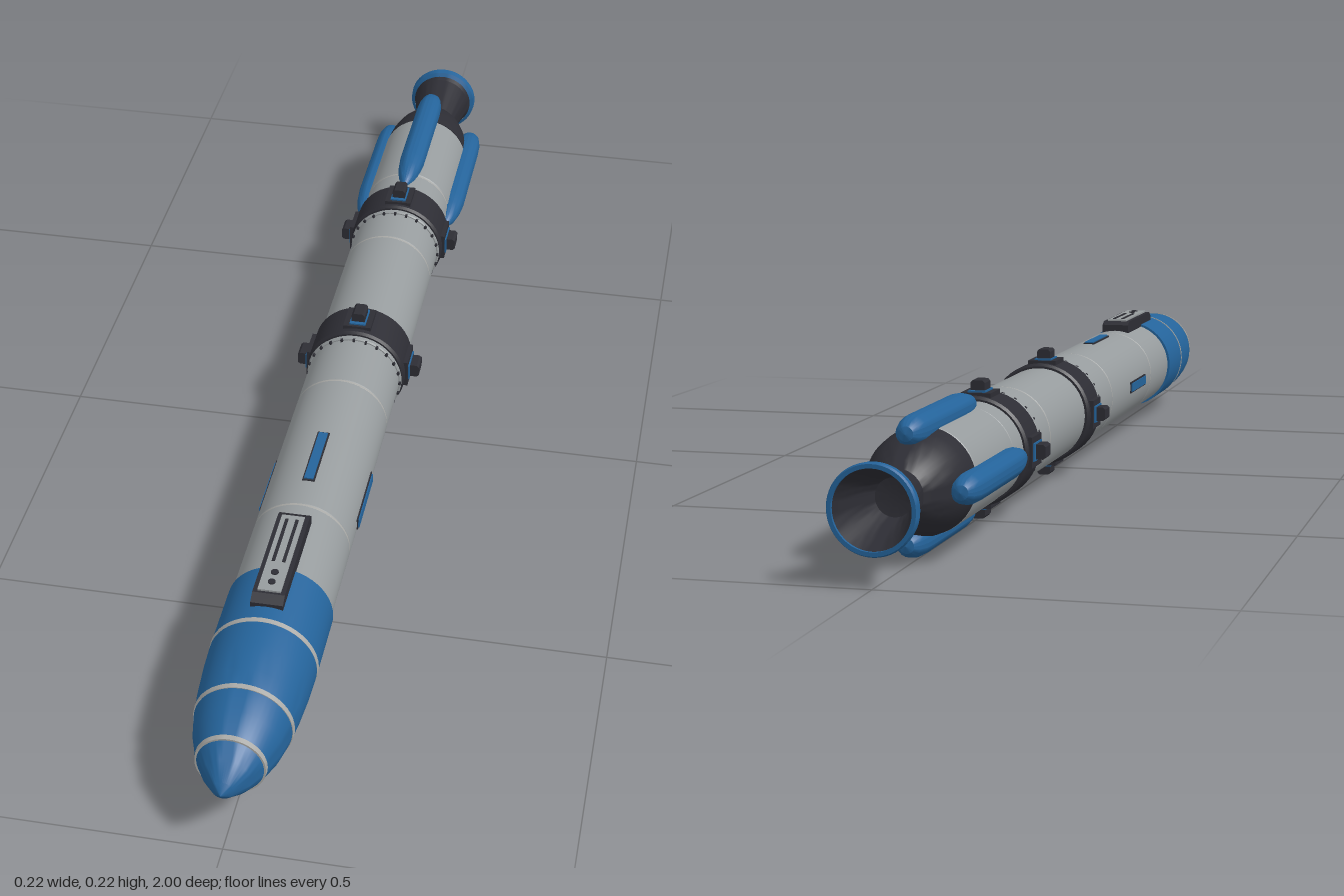
import * as THREE from 'three';
import { toCreasedNormals } from 'three/addons/utils/BufferGeometryUtils.js';

const AXIS_Y = 0.108;

export function createModel() {
  const mat = (name, color, side = THREE.FrontSide) => {
    const m = new THREE.MeshStandardMaterial({ color, side });
    m.name = name;
    return m;
  };
  const blue = mat('blue', 0x24639a);
  const grey = mat('hullGrey', 0x969b9d);
  const light = mat('seamGrey', 0xa9a9a6);
  const dark = mat('charcoal', 0x2d2d34, THREE.DoubleSide);

  const model = new THREE.Group();
  model.name = 'rocket';
  const rocket = new THREE.Group();
  rocket.name = 'body';
  rocket.position.y = AXIS_Y;
  model.add(rocket);

  const add = (name, geo, material, parent = rocket) => {
    const mesh = new THREE.Mesh(geo, material);
    mesh.name = name;
    parent.add(mesh);
    return mesh;
  };
  // Surface of revolution around the z axis; profile is [radius, z] from back to front
  const turned = (name, profile, material, parent = rocket, segments = 48) => {
    const pts = profile.map(([r, z]) => new THREE.Vector2(r, z));
    const geo = new THREE.LatheGeometry(pts, segments).rotateX(Math.PI / 2);
    return add(name, toCreasedNormals(geo, 0.5), material, parent);
  };
  // Short closed cylinder with small chamfers
  const drum = (name, z0, z1, r, material, bevel = 0.002) => turned(name, [
    [0, z0], [r - bevel, z0], [r, z0 + bevel], [r, z1 - bevel], [r - bevel, z1], [0, z1],
  ], material);
  const box = (name, size, pos, material, parent) => {
    const mesh = add(name, new THREE.BoxGeometry(...size), material, parent);
    mesh.position.set(...pos);
    return mesh;
  };
  // Four copies around the hull; +y is outward in each group
  const around = (name, build) => {
    for (let i = 0; i < 4; i++) {
      const g = new THREE.Group();
      g.name = name;
      g.rotation.z = i * Math.PI / 2;
      rocket.add(g);
      build(g);
    }
  };

  // Nose cone
  const ogive = [[0.083, 0.6], [0.083, 0.72], [0.0815, 0.77], [0.078, 0.82], [0.074, 0.855],
    [0.066, 0.895], [0.052, 0.935], [0.036, 0.963], [0.016, 0.988], [0, 1]];
  turned('noseCone', [[0, 0.6], ...ogive], blue);
  for (const [z, r] of [[0.72, 0.0832], [0.853, 0.0748], [0.935, 0.0525]]) {
    turned('noseRing', [[r - 0.006, z - 0.004], [r + 0.001, z - 0.004],
      [r, z + 0.004], [r - 0.008, z + 0.004]], light);
  }

  // Hull sections, with chamfered joints between them
  const joints = [-0.765, -0.56, -0.435, -0.338, -0.1, 0.11, 0.442, 0.602];
  for (let i = 0; i < joints.length - 1; i++) {
    drum('hullSection', joints[i], joints[i + 1], i === 0 ? 0.08 : 0.079, grey, 0.003);
  }
  for (const z of [-0.56, -0.338, 0.11, 0.442]) drum('seamRing', z - 0.003, z + 0.003, 0.0785, light, 0.001);

  // Clamp bands with flanges, bolts and latch blocks
  for (const [z0, z1] of [[-0.1, -0.02], [-0.505, -0.43]]) {
    const zc = (z0 + z1) / 2;
    drum('clampBand', z0, z1, 0.086, dark, 0.004);
    drum('flange', z1 + 0.006, z1 + 0.014, 0.083, grey);
    for (let i = 0; i < 24; i++) {
      const a = i / 24 * Math.PI * 2;
      const bolt = box('flangeBolt', [0.004, 0.004, 0.006],
        [Math.cos(a) * 0.081, Math.sin(a) * 0.081, z1 + 0.016], dark, rocket);
      bolt.rotation.z = a;
    }
    around('latch', g => {
      box('latchBase', [0.048, 0.014, 0.056], [0, 0.083, zc], dark, g);
      box('latchFrame', [0.028, 0.008, 0.046], [0, 0.0885, zc], blue, g);
      // Tapered block
      const s = new THREE.Shape();
      s.moveTo(-0.0115, 0.085);
      s.lineTo(0.0115, 0.085);
      s.lineTo(0.0115, 0.104);
      s.lineTo(0.008, 0.108);
      s.lineTo(-0.008, 0.108);
      s.lineTo(-0.0115, 0.104);
      const geo = new THREE.ExtrudeGeometry(s, { depth: 0.032, bevelEnabled: false });
      add('latchBlock', geo, dark, g).position.z = zc - 0.016;
    });
  }

  // Blue marker strips on the forward hull
  around('markerStrip', g => {
    box('stripSeat', [0.02, 0.006, 0.126], [0, 0.0775, 0.32], dark, g);
    box('strip', [0.015, 0.008, 0.12], [0, 0.0785, 0.32], blue, g);
  });

  // Long pods around the engine bay
  around('pod', g => {
    const pod = turned('podShell', [[0, -0.85], [0.011, -0.846], [0.018, -0.836], [0.0225, -0.815],
      [0.0235, -0.79], [0.0235, -0.6], [0.021, -0.57], [0.015, -0.54], [0.007, -0.522], [0, -0.515]],
    blue, g, 20);
    pod.position.y = 0.0795;
  });

  // Equipment housing on top, straddling the nose joint
  const housing = new THREE.Group();
  housing.name = 'equipmentHousing';
  rocket.add(housing);
  const side = new THREE.Shape();
  [[-0.69, 0.07], [-0.48, 0.07], [-0.48, 0.09], [-0.49, 0.096], [-0.675, 0.096], [-0.69, 0.088]]
    .forEach(([u, v], i) => (i ? side.lineTo(u, v) : side.moveTo(u, v)));
  const shell = new THREE.ExtrudeGeometry(side, { depth: 0.05, bevelEnabled: false });
  shell.rotateY(Math.PI / 2).translate(-0.025, 0, 0);
  add('housingBase', shell, dark, housing);
  box('housingPlate', [0.036, 0.006, 0.176], [0, 0.096, 0.583], grey, housing);
  for (const x of [-0.008, 0.008]) box('housingSlot', [0.005, 0.003, 0.1], [x, 0.0988, 0.555], dark, housing);
  for (const z of [0.63, 0.652]) {
    const stud = add('housingStud', new THREE.CylinderGeometry(0.006, 0.006, 0.003, 12), dark, housing);
    stud.position.set(0, 0.0993, z);
  }

  // Engine: dome, throat, hollow bell and blue lip
  turned('engineDome', [[0, -0.89], [0.036, -0.888], [0.048, -0.872], [0.06, -0.85], [0.07, -0.825],
    [0.077, -0.795], [0.0795, -0.765], [0, -0.765]], dark);
  turned('nozzleBell', [[0.058, -0.998], [0.047, -0.965], [0.035, -0.925], [0.028, -0.9], [0, -0.895]]
    .reverse().concat([[0.037, -0.88], [0.036, -0.905], [0.042, -0.935], [0.052, -0.968], [0.061, -0.995]]), dark);
  turned('nozzleLip', [[0.057, -0.985], [0.057, -1], [0.063, -1], [0.065, -0.996],
    [0.064, -0.984], [0.057, -0.98]], blue);

  return model;
}
